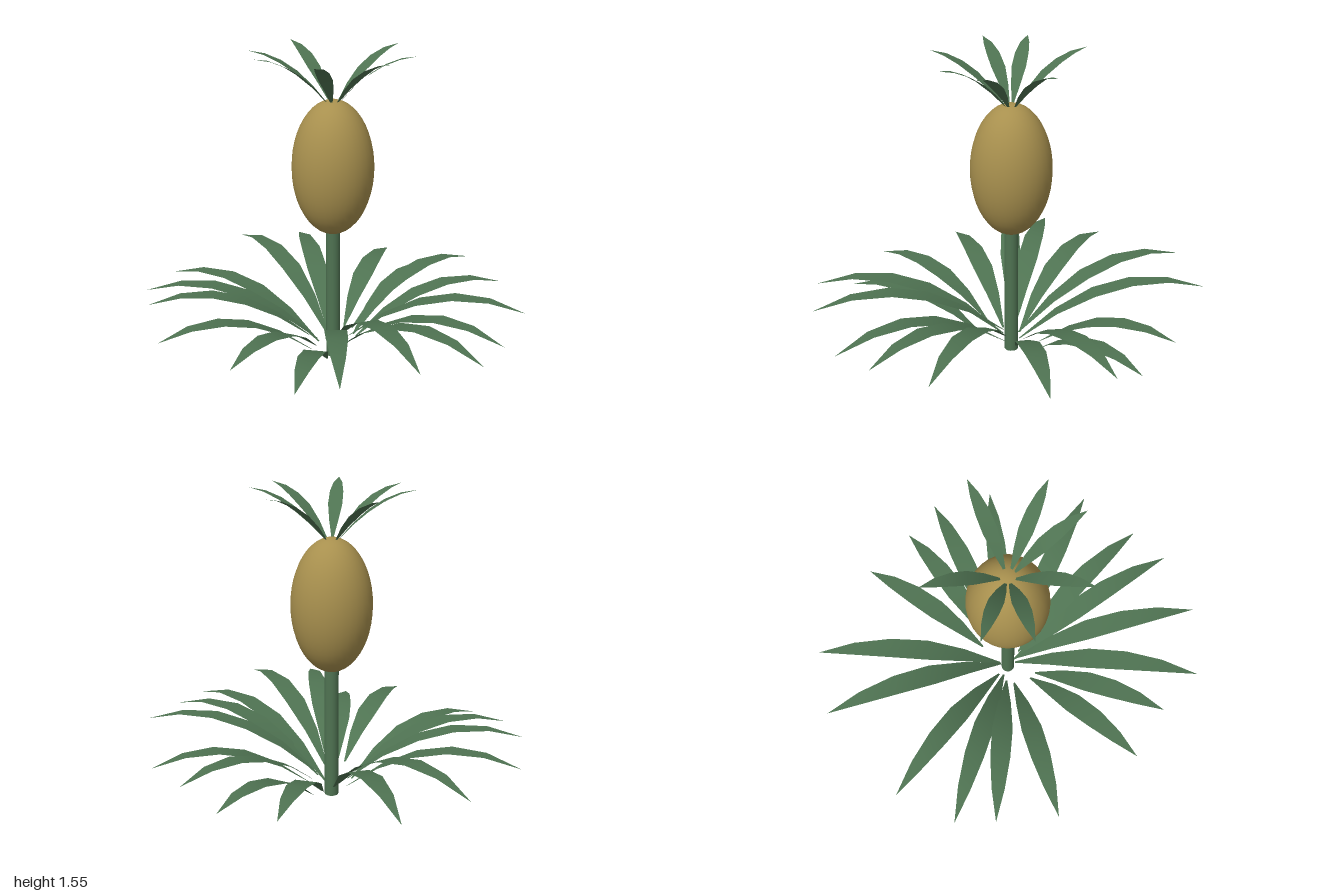
import * as THREE from 'three';

const GOLDEN = THREE.MathUtils.degToRad(137.5);

// Relative half-widths of a blade from base to tip
const BLADE = [0.08, 0.62, 0.97, 0.92, 0.6, 0];

// Flat arching blade along +x; its height follows a*t - b*t^2
function bladeGeometry({ start, length, baseY, a, b, halfWidth }) {
  const positions = [], index = [];
  const last = BLADE.length - 1;
  BLADE.forEach((w, i) => {
    const t = i / last;
    const x = start + length * t;
    const y = baseY + a * t - b * t * t;
    positions.push(x, y, -w * halfWidth, x, y, w * halfWidth);
    if (i < last) {
      const k = i * 2;
      index.push(k, k + 1, k + 2);
      if (i < last - 1) index.push(k + 1, k + 3, k + 2);
      else index.push(k + 1, k + 3, k + 2);
    }
  });
  const g = new THREE.BufferGeometry();
  g.setAttribute('position', new THREE.Float32BufferAttribute(positions, 3));
  g.setIndex(index);
  g.computeVertexNormals();
  return g;
}

export function createModel() {
  const green = new THREE.MeshStandardMaterial({ color: 0x4f7352, side: THREE.DoubleSide });
  green.name = 'leafGreen';
  const gold = new THREE.MeshStandardMaterial({ color: 0xa8904e });
  gold.name = 'fruitGold';

  const model = new THREE.Group();
  model.name = 'pineapplePlant';
  const plant = new THREE.Group();
  plant.name = 'plant';
  plant.position.set(-0.01, 0, 0.012);
  model.add(plant);

  // Stem
  const stem = new THREE.Mesh(new THREE.CylinderGeometry(0.035, 0.035, 0.68, 16), green);
  stem.name = 'stem';
  stem.position.y = 0.34;
  plant.add(stem);

  // Fruit
  const fruit = new THREE.Mesh(new THREE.SphereGeometry(1, 32, 24), gold);
  fruit.name = 'fruit';
  fruit.scale.set(0.2, 0.335, 0.2);
  fruit.position.y = 0.995;
  plant.add(fruit);

  // Spiral of leaves, each turned by the golden angle
  const spiral = (name, count, options) => {
    const group = new THREE.Group();
    group.name = name;
    for (let i = 0; i < count; i++) {
      const leaf = new THREE.Mesh(bladeGeometry(options(i)), green);
      leaf.name = name + 'Leaf';
      leaf.rotation.y = -i * GOLDEN;
      group.add(leaf);
    }
    plant.add(group);
  };

  // Base rosette: four lengths and three heights alternate
  spiral('rosette', 17, (i) => {
    const k = i % 4;
    const s = 1 - 0.09 * k;
    return {
      start: 0.04 + 0.04 * k, length: 0.96 - 0.08 * k, baseY: 0.052 + 0.03 * (i % 3),
      a: 0.88 * s, b: 0.628 * s, halfWidth: 0.055,
    };
  });

  // Crown on top of the fruit
  spiral('crown', 7, () => ({
    start: 0.025, length: 0.375, baseY: 1.31, a: 0.455, b: 0.21, halfWidth: 0.036,
  }));

  return model;
}
